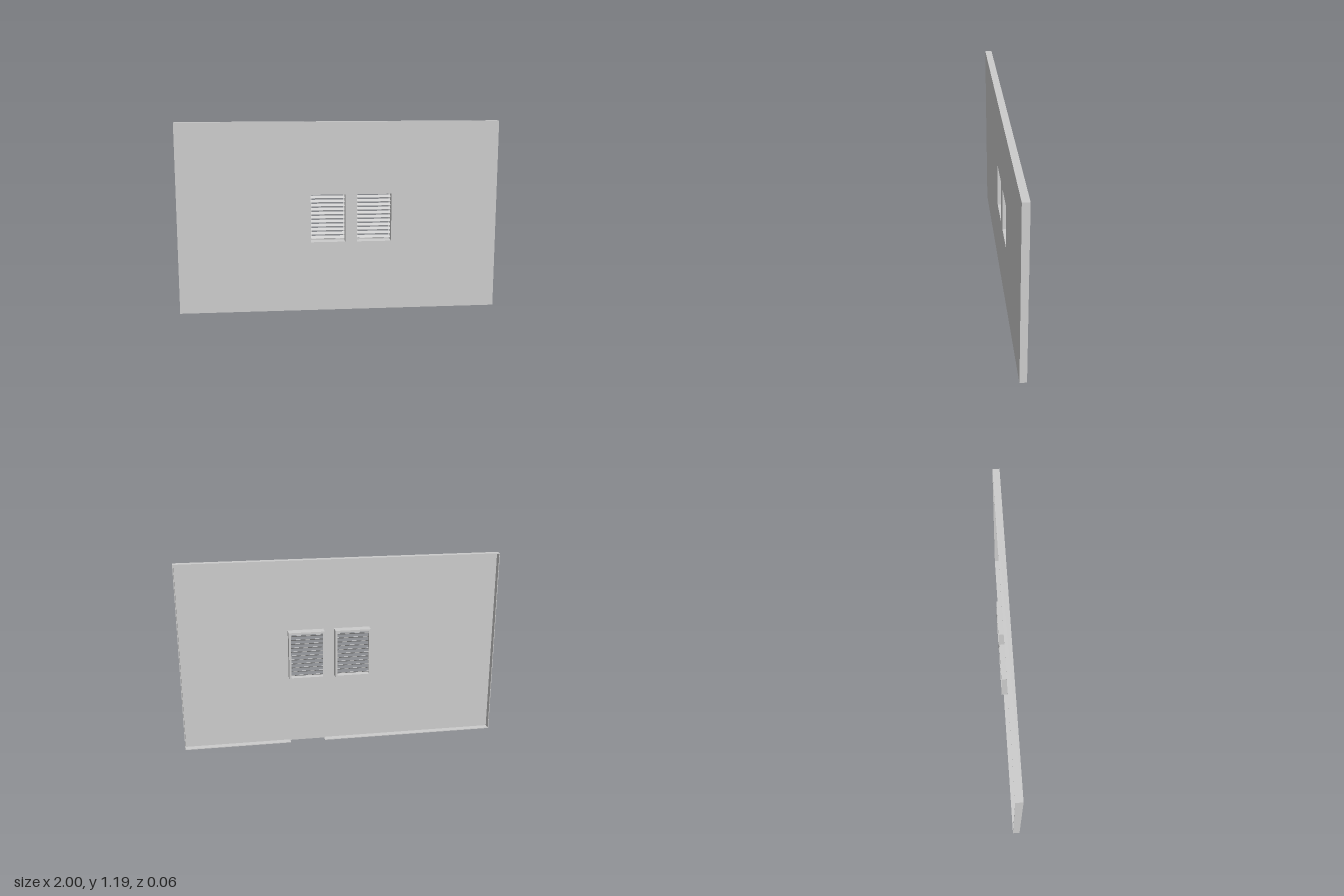
import * as THREE from 'three';

const W = 2, H = 1.19, FRONT = 0.032, T = 0.004;
const FLANGE_BACK = -0.011, VENT_BACK = -0.032;
const VENT_W = 0.224, VENT_H = 0.308, VENT_Y = 0.59;
const VENT_XS = [-0.07, 0.22];

const material = new THREE.MeshStandardMaterial({ color: 0xcccccc, flatShading: true });

function rect(target, cx, cy, w, h) {
  target.moveTo(cx - w / 2, cy - h / 2);
  target.lineTo(cx + w / 2, cy - h / 2);
  target.lineTo(cx + w / 2, cy + h / 2);
  target.lineTo(cx - w / 2, cy + h / 2);
  target.closePath();
  return target;
}

// Rectangular plate with rectangular holes, from z0 to z1
function plate(name, outer, holes, z0, z1) {
  const shape = rect(new THREE.Shape(), ...outer);
  for (const hole of holes) shape.holes.push(rect(new THREE.Path(), ...hole));
  const geometry = new THREE.ExtrudeGeometry(shape, { depth: z1 - z0, bevelEnabled: false });
  const mesh = new THREE.Mesh(geometry.translate(0, 0, z0), material);
  mesh.name = name;
  return mesh;
}

function flange(name, x0, x1, y0, y1) {
  const depth = FRONT - T - FLANGE_BACK;
  const mesh = new THREE.Mesh(new THREE.BoxGeometry(x1 - x0, y1 - y0, depth), material);
  mesh.position.set((x0 + x1) / 2, (y0 + y1) / 2, FLANGE_BACK + depth / 2);
  mesh.name = name;
  return mesh;
}

function createVent(cx) {
  const vent = new THREE.Group();
  vent.name = 'louverVent';
  const w = VENT_W - 2 * T, h = VENT_H - 2 * T, lip = 0.009;

  // Sleeve running back from the panel, with a narrow inward lip at its end
  vent.add(plate('sleeve', [0, 0, VENT_W, VENT_H], [[0, 0, w, h]], VENT_BACK, FRONT - T));
  const innerW = w - 2 * lip, innerH = h - 2 * lip;
  vent.add(plate('backLip', [0, 0, w, h], [[0, 0, innerW, innerH]], VENT_BACK, VENT_BACK + 0.003));

  // Slats slope upward to the back
  const count = 11, pitch = innerH / count, depth = 0.026;
  const slatGeometry = new THREE.BoxGeometry(w, 0.0015, depth);
  for (let i = 0; i < count; i++) {
    const slat = new THREE.Mesh(slatGeometry, material);
    slat.name = 'slat';
    slat.position.set(0, -innerH / 2 + (i + 0.5) * pitch, VENT_BACK + 0.015);
    slat.rotation.x = Math.PI / 6.3;
    vent.add(slat);
  }
  vent.position.set(cx, VENT_Y, 0);
  return vent;
}

export function createModel() {
  const model = new THREE.Group();
  model.name = 'ventedWallPanel';

  // Face sheet with the two vent openings
  const holes = VENT_XS.map((x) => [x, VENT_Y, VENT_W - 2 * T, VENT_H - 2 * T]);
  model.add(plate('faceSheet', [0, H / 2, W, H], holes, FRONT - T, FRONT));

  // Edge flanges; the bottom one has a gap
  model.add(
    flange('topFlange', -W / 2, W / 2, H - T, H),
    flange('leftFlange', W / 2 - T, W / 2, 0, H - T),
    flange('rightFlange', -W / 2, -W / 2 + T, 0, H - T),
    flange('bottomFlangeLeft', 0.33, W / 2 - T, 0, T),
    flange('bottomFlangeRight', -W / 2 + T, 0.11, 0, T),
  );

  for (const x of VENT_XS) model.add(createVent(x));
  return model;
}
